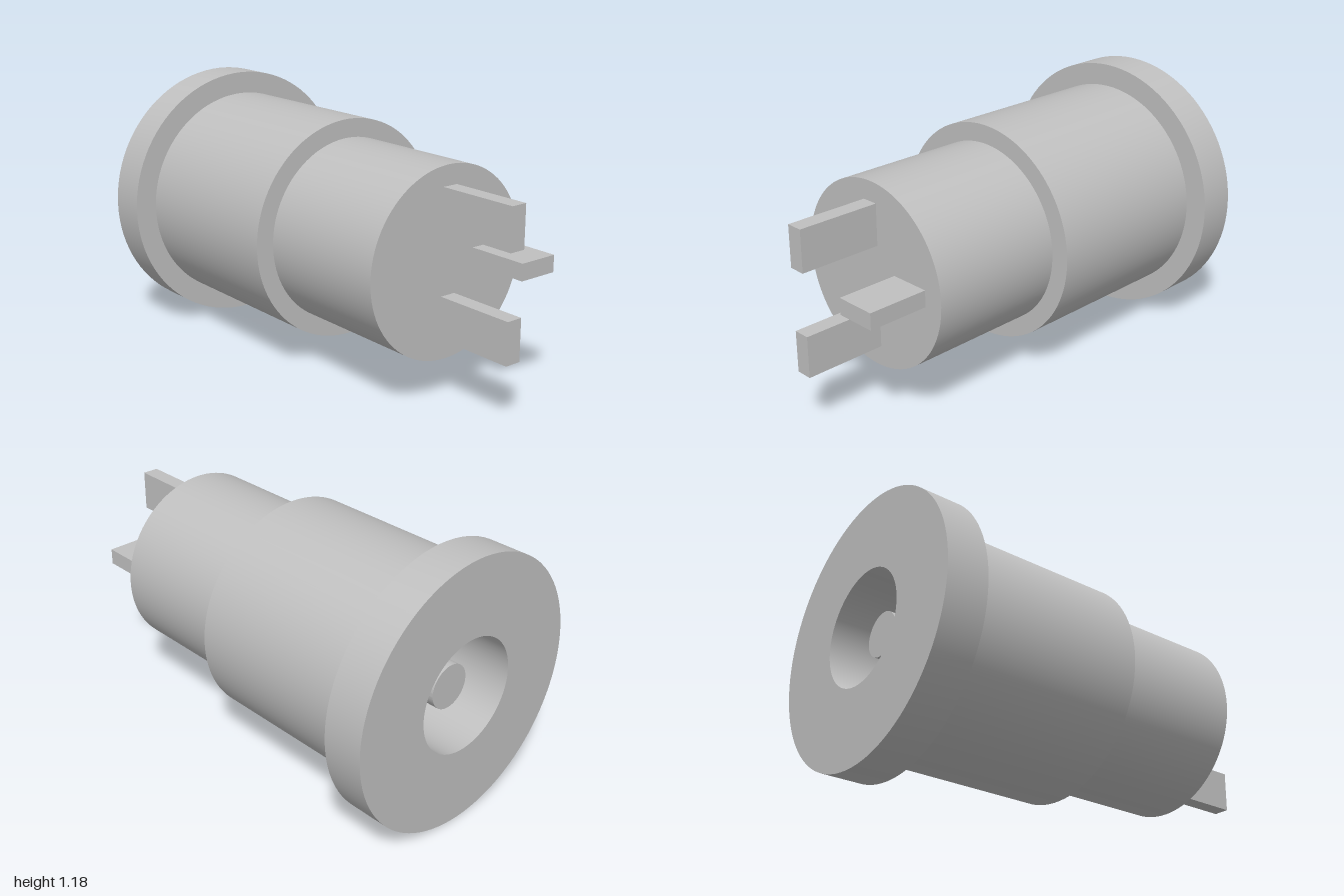
import * as THREE from 'three';
import { toCreasedNormals } from 'three/addons/utils/BufferGeometryUtils.js';

const AXIS_Y = 0.59;

// Turned part: profile given as [radius, x], spun about the x axis
function turned(name, profile, material) {
  const points = profile.map(([r, x]) => new THREE.Vector2(r, x));
  const geometry = toCreasedNormals(new THREE.LatheGeometry(points, 96), 0.5);
  geometry.rotateZ(-Math.PI / 2);
  const mesh = new THREE.Mesh(geometry, material);
  mesh.name = name;
  mesh.position.y = AXIS_Y;
  return mesh;
}

// Solder tab standing out of the rear face
function tab(name, endX, height, depth, y, z, material) {
  const startX = 0.62;
  const mesh = new THREE.Mesh(new THREE.BoxGeometry(endX - startX, height, depth), material);
  mesh.name = name;
  mesh.position.set((startX + endX) / 2, y, z);
  return mesh;
}

export function createModel() {
  const group = new THREE.Group();
  group.name = 'panelSocket';
  const grey = new THREE.MeshStandardMaterial({ color: 0xbfbfbf });
  grey.name = 'grey';

  // Stepped housing with flange and blind bore
  group.add(turned('housing', [
    [0, 0], [0.25, 0], [0.25, -1],
    [0.59, -1], [0.59, -0.82],
    [0.49, -0.82], [0.49, 0],
    [0.408, 0], [0.408, 0.632], [0, 0.632],
  ], grey));

  // Centre contact pin, slightly recessed in the bore
  group.add(turned('centrePin', [[0, -0.91], [0.097, -0.91], [0.097, 0.01]], grey));

  // Two upright tabs and one shorter flat tab
  group.add(tab('upperTab', 1, 0.182, 0.073, 0.82, 0, grey));
  group.add(tab('lowerTab', 1, 0.182, 0.073, 0.365, 0, grey));
  group.add(tab('sideTab', 0.907, 0.073, 0.182, 0.593, -0.226, grey));
  return group;
}
